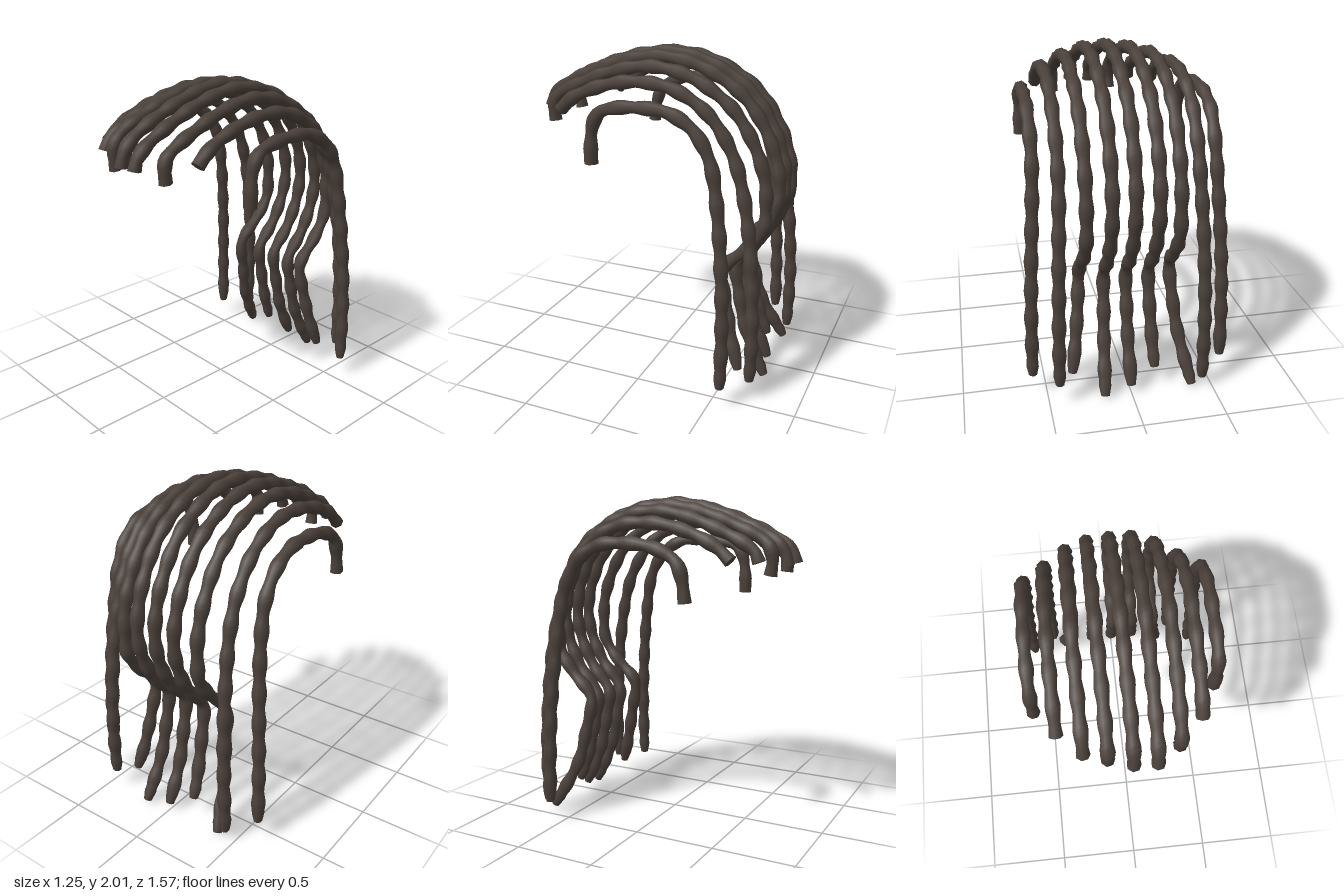
import * as THREE from 'three';
import { mergeVertices, toCreasedNormals } from 'three/addons/utils/BufferGeometryUtils.js';

const SIDES = 7, BUMP = 0.18;

// Arches over the head, front to back, as [z, y]
const CROWN = [[0.665, 1.735], [0.44, 1.85], [0.2, 1.93], [0, 1.957], [-0.2, 1.93], [-0.36, 1.865],
  [-0.53, 1.745], [-0.665, 1.55], [-0.735, 1.35], [-0.745, 1.2]];
const SIDE = [[0.45, 1.715], [0.22, 1.81], [0, 1.84], [-0.2, 1.81], [-0.4, 1.69], [-0.54, 1.49], [-0.605, 1.3]];
const OUTER = [[0.2, 1.68], [0.08, 1.715], [-0.08, 1.725], [-0.22, 1.71], [-0.36, 1.63], [-0.455, 1.48], [-0.505, 1.25]];

// Hanging parts below each arch, as [z, y]
const TUCK = [[-0.7, 1.03], [-0.6, 0.88], [-0.485, 0.77], [-0.46, 0.71], [-0.495, 0.52], [-0.545, 0.3]];
const MID_TUCK = [[-0.705, 1.03], [-0.62, 0.87], [-0.525, 0.76], [-0.5, 0.7], [-0.53, 0.52], [-0.58, 0.3]];
const SIDE_FALL = [[-0.655, 1.05], [-0.685, 0.8], [-0.705, 0.45]];
const OUTER_FALL = [[-0.55, 0.85], [-0.567, 0.5]];

// x on the head, x at the lower end, front tip points, arch, depth scale, drop, hanging part, lower end [z, y]
const LOCKS = [
  [-0.53, -0.59, [[0.335, 1.4], [0.315, 1.54], [0.28, 1.625]], OUTER, 1, 0, OUTER_FALL, [-0.575, 0.12]],
  [-0.4, -0.44, [[0.55, 1.63]], SIDE, 1, 0, SIDE_FALL, [-0.7, 0.06]],
  [-0.265, -0.378, [[0.665, 1.62]], CROWN, 0.95, 0.05, TUCK, [-0.695, 0.005]],
  [-0.135, -0.155, [[0.685, 1.54], [0.695, 1.64]], CROWN, 1, 0.015, MID_TUCK, [-0.64, 0.125]],
  [0, 0, [[0.742, 1.59], [0.725, 1.66]], CROWN, 1, 0, MID_TUCK, [-0.69, 0.045]],
  [0.13, 0.165, [[0.75, 1.6], [0.73, 1.66]], CROWN, 1, 0.01, MID_TUCK, [-0.715, 0.01]],
  [0.265, 0.345, [[0.645, 1.54], [0.65, 1.63]], CROWN, 0.95, 0.05, TUCK, [-0.6, 0.12]],
  [0.395, 0.435, [[0.53, 1.64]], SIDE, 1, 0, SIDE_FALL, [-0.7, 0.12]],
  [0.525, 0.58, [[0.262, 1.375], [0.26, 1.51], [0.24, 1.62]], OUTER, 1, 0, OUTER_FALL, [-0.565, 0.12]],
];

// Beaded tube: each ring is resized along the length, with closed ends
function lockGeometry(points, phase) {
  const curve = new THREE.CatmullRomCurve3(points, false, 'centripetal');
  const length = curve.getLength();
  const rings = Math.round(length / (BUMP / 6));
  const geo = new THREE.TubeGeometry(curve, rings, 1, SIDES, false);
  const pos = geo.attributes.position;
  const v = new THREE.Vector3();
  for (let i = 0; i <= rings; i++) {
    const centre = curve.getPointAt(i / rings);
    // The two rings at each end share one centre, forming a flat cap
    const target = i === 1 ? curve.getPointAt(0) : i === rings - 1 ? curve.getPointAt(1) : centre;
    let r = 0.039 + 0.005 * Math.cos((i / rings) * length / BUMP * Math.PI * 2 + phase);
    if (i === 0 || i === rings) r = 0;
    else if (i === 1) r = 0.041;
    else if (i === rings - 1) r = 0.026;
    else if (i === rings - 2) r = 0.038;
    for (let j = 0; j <= SIDES; j++) {
      const k = i * (SIDES + 1) + j;
      v.fromBufferAttribute(pos, k).sub(centre).multiplyScalar(r).add(target);
      pos.setXYZ(k, v.x, v.y, v.z);
    }
  }
  geo.deleteAttribute('uv');
  geo.deleteAttribute('normal');
  return toCreasedNormals(mergeVertices(geo, 1e-5), 1.0);
}

export function createModel() {
  const group = new THREE.Group();
  group.name = 'hairLocks';
  const hair = new THREE.MeshStandardMaterial({ color: 0x4b413b });
  hair.name = 'dark brown hair';

  LOCKS.forEach(([x, xEnd, tip, arch, depth, drop, fall, end], n) => {
    const points = [
      ...tip,
      ...arch.map(([z, y]) => [z * depth, y - drop]),
      ...fall, end,
    ].map(([z, y], i) => {
      // Drift sideways only on the hanging part; the tucked locks flare late
      const t = i > tip.length + 2 ? THREE.MathUtils.clamp((1.4 - y) / (1.4 - end[1]), 0, 1) : 0;
      const ease = arch === CROWN ? t ** 3 : Math.sin(t * Math.PI / 2);
      return new THREE.Vector3(x + (xEnd - x) * ease, y, z);
    });
    const lock = new THREE.Mesh(lockGeometry(points, n * 0.4), hair);
    lock.name = `lock${n + 1}`;
    group.add(lock);
  });
  return group;
}
